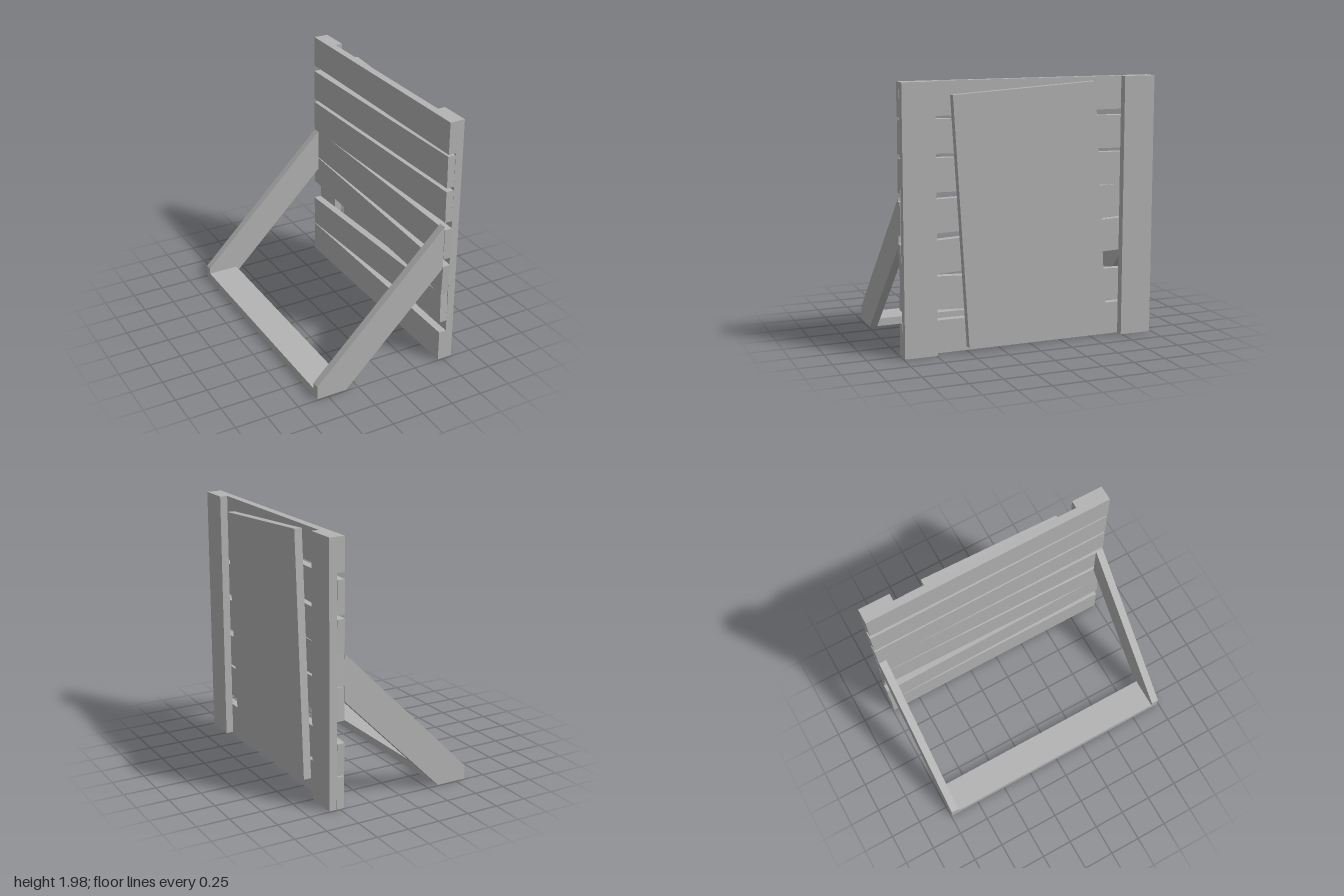
import * as THREE from 'three';

export function createModel() {
  const model = new THREE.Group();
  model.name = 'plankBarricade';
  const grey = new THREE.MeshStandardMaterial({ color: 0xb4b4b4 });
  grey.name = 'plainGrey';

  const T = 0.06;     // board thickness
  const W = 0.247;    // board width
  const L = 1.98;     // board length

  function board(name, size, position, tilt = 0) {
    const mesh = new THREE.Mesh(new THREE.BoxGeometry(...size), grey);
    mesh.name = name;
    mesh.position.set(...position);
    mesh.rotation.x = tilt;
    model.add(mesh);
    return mesh;
  }

  // Horizontal slats, some nailed on crooked: [centre height, tilt, z shift]
  const slats = [
    [0.1235, 0, 0],
    [0.42, -0.043, -0.003],
    [0.747, 0.044, 0.001],
    [1.027, 0.0175, 0.003],
    [1.299, -0.0168, -0.002],
    [1.576, -0.0168, -0.003],
    [1.8565, 0, 0],
  ];
  slats.forEach(([y, tilt, z], i) =>
    board(`slat${i + 1}`, [T, W, L], [0.493, y, z], tilt));

  // Upright posts over the slat ends
  for (const s of [1, -1]) {
    board(s > 0 ? 'leftPost' : 'rightPost', [T, L, W], [0.553, L / 2, s * 0.8655]);
  }

  // Crooked sign panel between the posts
  board('panel', [T, 1.854, 1.112], [0.554, 0.99, 0.001], 0.0622);

  // Sloping braces, cut flat on the ground and against the slats
  const outline = new THREE.Shape([
    [-0.587, 0], [-0.345, 0], [0.463, 0.808], [0.463, 1.157], [-0.587, 0.107],
  ].map(([x, y]) => new THREE.Vector2(x, y)));
  const braceGeometry = new THREE.ExtrudeGeometry(outline, { depth: T, bevelEnabled: false });
  braceGeometry.translate(0, 0, -T / 2);
  for (const s of [1, -1]) {
    const brace = new THREE.Mesh(braceGeometry, grey);
    brace.name = s > 0 ? 'leftBrace' : 'rightBrace';
    brace.position.z = s * 0.958;
    model.add(brace);
  }

  // Flat foot board joining the braces
  board('footBoard', [W, T, 1.858], [-0.4635, T / 2, 0]);

  return model;
}
